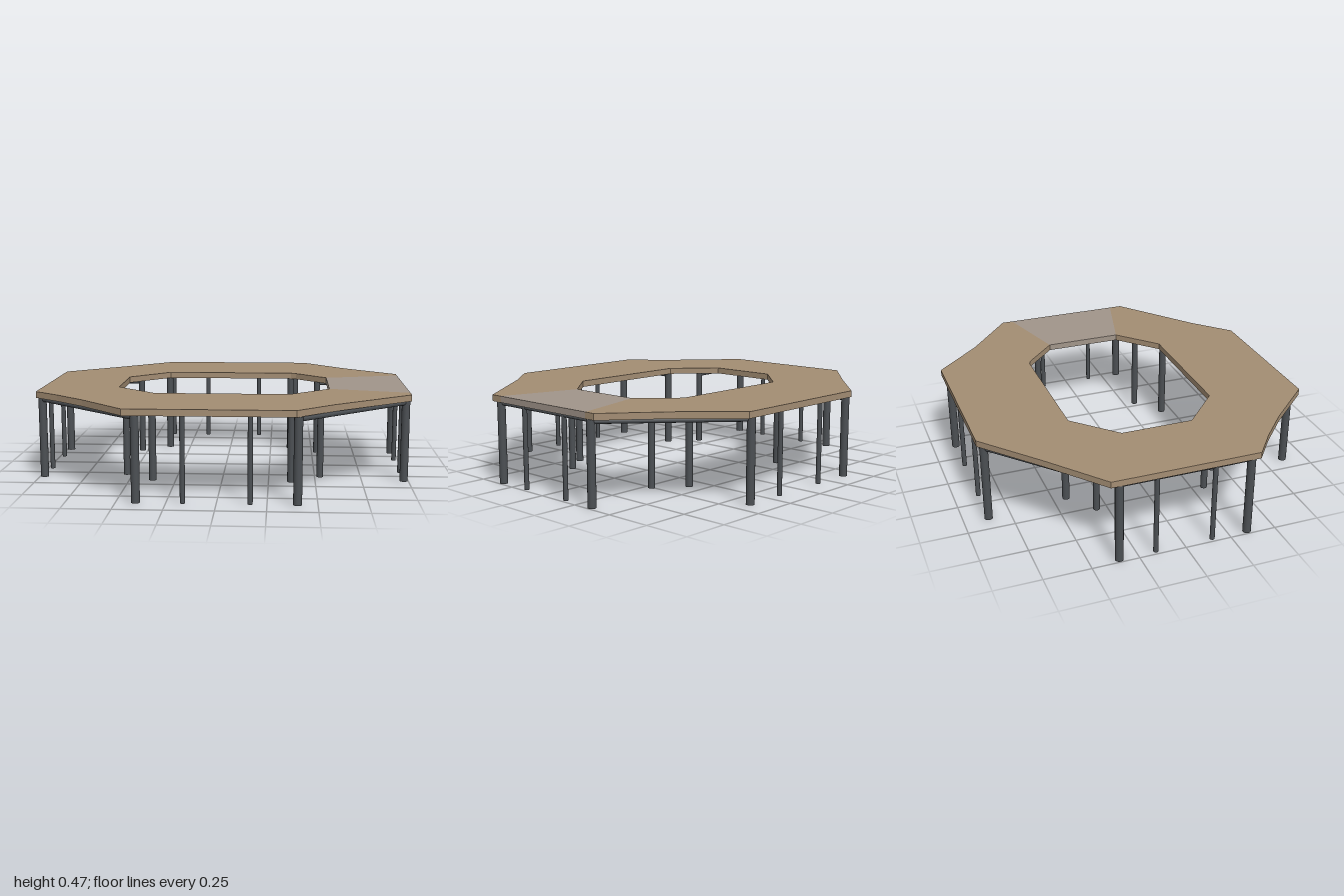
import * as THREE from 'three';

const TOP = 0.475, THICK = 0.034;

export function createModel() {
  const model = new THREE.Group();
  const wood = new THREE.MeshStandardMaterial({ color: 0xa38d73 });
  const paleWood = new THREE.MeshStandardMaterial({ color: 0xa1958a });
  const steel = new THREE.MeshStandardMaterial({ color: 0x4b4f53 });

  // Slab from a plan outline of [x, z] points
  function slab(name, points, material) {
    const shape = new THREE.Shape(points.map(([x, z]) => new THREE.Vector2(x, -z)));
    const geometry = new THREE.ExtrudeGeometry(shape, { depth: THICK, bevelEnabled: false });
    geometry.rotateX(-Math.PI / 2);
    const mesh = new THREE.Mesh(geometry, material);
    mesh.name = name;
    mesh.position.y = TOP - THICK;
    model.add(mesh);
  }

  function leg(name, x, z, radius, bottom = 0) {
    const height = TOP - THICK - bottom;
    const mesh = new THREE.Mesh(new THREE.CylinderGeometry(radius, radius, height, 16), steel);
    mesh.name = name;
    mesh.position.set(x, bottom + height / 2, z);
    model.add(mesh);
  }

  // Horizontal tube under the top between two [x, z] points
  function rail(name, a, b, radius = 0.012) {
    const y = TOP - THICK - radius + 0.001;
    const path = new THREE.LineCurve3(new THREE.Vector3(a[0], y, a[1]), new THREE.Vector3(b[0], y, b[1]));
    const mesh = new THREE.Mesh(new THREE.TubeGeometry(path, 1, radius, 10), steel);
    mesh.name = name;
    model.add(mesh);
  }

  // Ring-shaped top: a long C-shaped run and a paler section closing it at +x
  slab('tableTop', [
    [1, -0.34], [1, -0.4], [0.7, -0.65], [0.46, -0.905], [-0.4, -0.905], [-0.7, -0.645],
    [-1, -0.4], [-1, 0.39], [-0.86, 0.5], [-0.7, 0.645], [-0.46, 0.9], [0.39, 0.9],
    [0.58, 0.72], [1, 0.39], [1, 0.32],
    [0.575, 0.205], [0.36, 0.403], [-0.36, 0.403], [-0.58, 0.2], [-0.58, -0.19],
    [-0.36, -0.405], [0.37, -0.405], [0.4, -0.39], [0.575, -0.22],
  ], wood);
  slab('tableTopEndSection', [
    [0.575, -0.22], [0.575, 0.205], [1, 0.32], [1, -0.34],
  ], paleWood);

  // Legs and rails, mirrored over the four corners
  for (const sx of [-1, 1]) {
    for (const sz of [-1, 1]) {
      const longOuter = [sx * 0.4, sz * 0.868], longInner = [sx * 0.37, sz * 0.432];
      const endOuter = [sx * 0.975, sz * 0.35], endInner = [sx * 0.527, sz * 0.312];
      leg('outerLeg', ...longOuter, 0.022);
      leg('outerLeg', ...endOuter, 0.022);
      leg('innerLeg', ...longInner, 0.02, 0.008);
      leg('innerLeg', ...endInner, 0.018, 0.008);
      leg('thinLeg', sx * 0.167, sz * 0.868, 0.013);
      leg('thinLeg', sx * 0.975, sz * 0.155, 0.013);
      rail('crossRail', longOuter, longInner);
      rail('crossRail', endOuter, endInner);
      rail('cornerRail', longOuter, endOuter, 0.014);
    }
    rail('endRail', [sx * 0.975, -0.35], [sx * 0.975, 0.35], 0.01);
  }
  return model;
}
